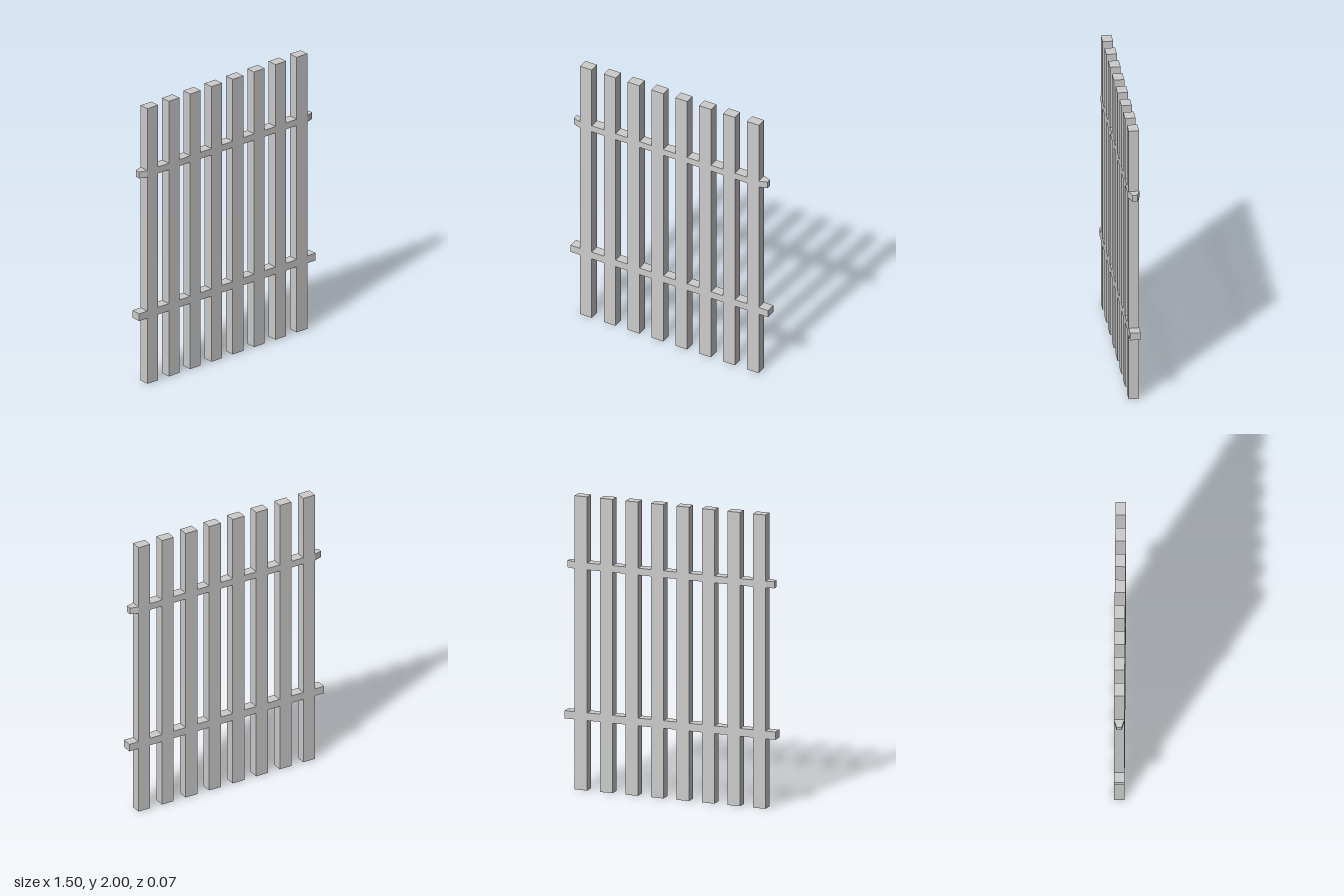
import * as THREE from 'three';

export function createModel() {
  const group = new THREE.Group();
  const material = new THREE.MeshStandardMaterial({ color: 0xcccccc, flatShading: true });
  const depth = 0.07;

  const add = (name, geometry, x, y) => {
    const mesh = new THREE.Mesh(geometry, material);
    mesh.name = name;
    mesh.position.set(x, y, 0);
    group.add(mesh);
  };

  // Eight evenly spaced upright pickets
  const picket = new THREE.BoxGeometry(0.09, 2, depth);
  const count = 8, spacing = 0.1814;
  for (let i = 0; i < count; i++) {
    add(`picket${i + 1}`, picket, (i - (count - 1) / 2) * spacing, 1);
  }

  // Square-ended lower rail
  add('lowerRail', new THREE.BoxGeometry(1.5, 0.053, depth), 0, 0.503);

  // Upper rail, its ends tapered in plan
  const h = depth / 2, shoulder = 0.682, tip = 0.736, tipHalf = 0.017;
  const plan = new THREE.Shape([
    [-shoulder, -h], [shoulder, -h], [tip, -tipHalf], [tip, tipHalf],
    [shoulder, h], [-shoulder, h], [-tip, tipHalf], [-tip, -tipHalf],
  ].map(([x, z]) => new THREE.Vector2(x, z)));
  const upperRail = new THREE.ExtrudeGeometry(plan, { depth: 0.047, bevelEnabled: false });
  upperRail.rotateX(-Math.PI / 2);
  add('upperRail', upperRail, 0, 1.503);

  return group;
}
